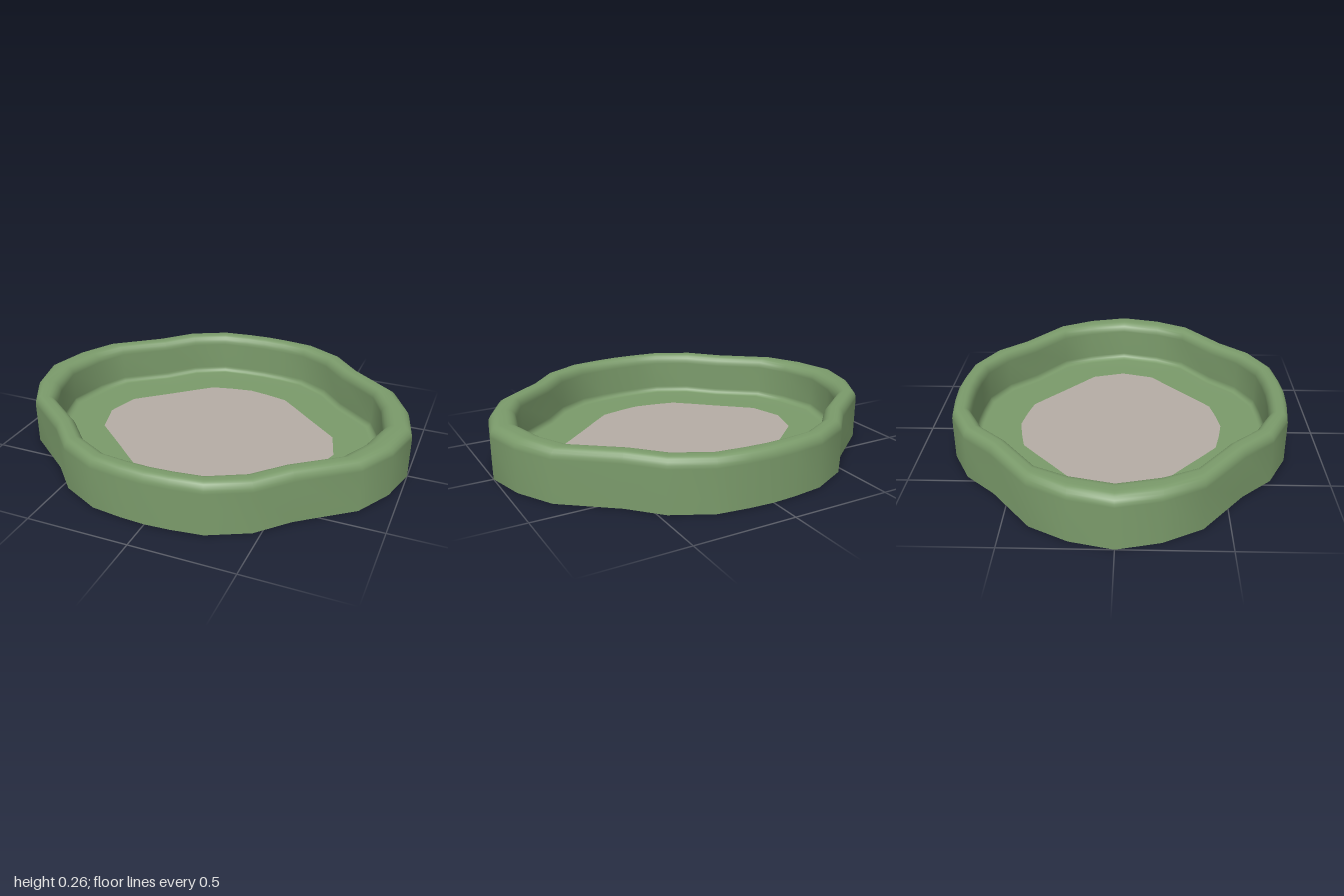
import * as THREE from 'three';

// One quarter of each outline [x, z], from the side (+x) to the front (+z)
const OUTER = [[1, 0], [0.95, 0.2], [0.85, 0.38], [0.6, 0.575], [0.465, 0.72], [0.275, 0.815], [0.12, 0.835], [0, 0.842]];
const INNER = [[0.86, 0], [0.81, 0.2], [0.737, 0.35], [0.533, 0.505], [0.405, 0.64], [0.243, 0.725], [0.11, 0.74], [0, 0.745]];
const PATCH = [[0.63, 0], [0.605, 0.085], [0.58, 0.17], [0.4, 0.325], [0.31, 0.405], [0.22, 0.482], [0.11, 0.507], [0, 0.525]];
const HEIGHT = 0.26;
const FLOOR = 0.035;

// Mirror a quarter outline into a closed loop
function fullLoop(quarter) {
  const half = [...quarter, ...quarter.slice(0, -1).reverse().map(([x, z]) => [-x, z])];
  return [...half, ...half.slice(1, -1).reverse().map(([x, z]) => [x, -z])];
}

// Blend two loops (t may run past 1) and lift the result to height y
function ring(a, b, t, y) {
  return a.map(([x, z], i) => [x + (b[i][0] - x) * t, y, z + (b[i][1] - z) * t]);
}

// Skin a list of matching closed rings
function loft(rings) {
  const n = rings[0].length;
  const index = [];
  for (let r = 0; r < rings.length - 1; r++) {
    for (let i = 0; i < n; i++) {
      const j = (i + 1) % n;
      const a = r * n + i, b = r * n + j, c = a + n, d = b + n;
      index.push(a, c, d, a, d, b);
    }
  }
  const geometry = new THREE.BufferGeometry();
  geometry.setAttribute('position', new THREE.Float32BufferAttribute(rings.flat(2), 3));
  geometry.setIndex(index);
  geometry.computeVertexNormals();
  return geometry;
}

export function createModel() {
  const group = new THREE.Group();
  group.name = 'basin';
  const outer = fullLoop(OUTER);
  const inner = fullLoop(INNER);
  const patch = fullLoop(PATCH);

  // Wall section: up the outside, over the rounded rim, down the inside
  const steps = 5;
  const section = [[0, 0]];
  const arc = (t0, t1, y, radius, from, to) => {
    for (let k = 0; k <= steps; k++) {
      const angle = from + (to - from) * k / steps;
      section.push([t0 + t1 * Math.cos(angle), y + radius * Math.sin(angle)]);
    }
  };
  arc(0.38, -0.38, HEIGHT - 0.05, 0.05, 0, Math.PI / 2);
  arc(0.62, 0.38, HEIGHT - 0.05, 0.05, Math.PI / 2, 0);
  // Small fillet where the wall meets the floor
  arc(1.25, -0.25, FLOOR + 0.03, 0.03, 0, -Math.PI / 2);

  // Open-bottomed wall with the floor border running in to the patch
  const rings = section.map(([t, y]) => ring(outer, inner, t, y));
  rings.push(ring(patch, patch, 0, FLOOR));
  const wall = new THREE.Mesh(
    loft(rings),
    new THREE.MeshStandardMaterial({ color: 0x7a9a6a, side: THREE.DoubleSide })
  );
  wall.name = 'wallAndFloorBorder';
  group.add(wall);

  // Flush middle of the floor
  const centre = patch.map(() => [0, 0]);
  const middle = new THREE.Mesh(
    loft([ring(patch, centre, 0, FLOOR), ring(patch, centre, 1, FLOOR)]),
    new THREE.MeshStandardMaterial({ color: 0xb4aca4, side: THREE.DoubleSide })
  );
  middle.name = 'floorCentre';
  group.add(middle);

  return group;
}
